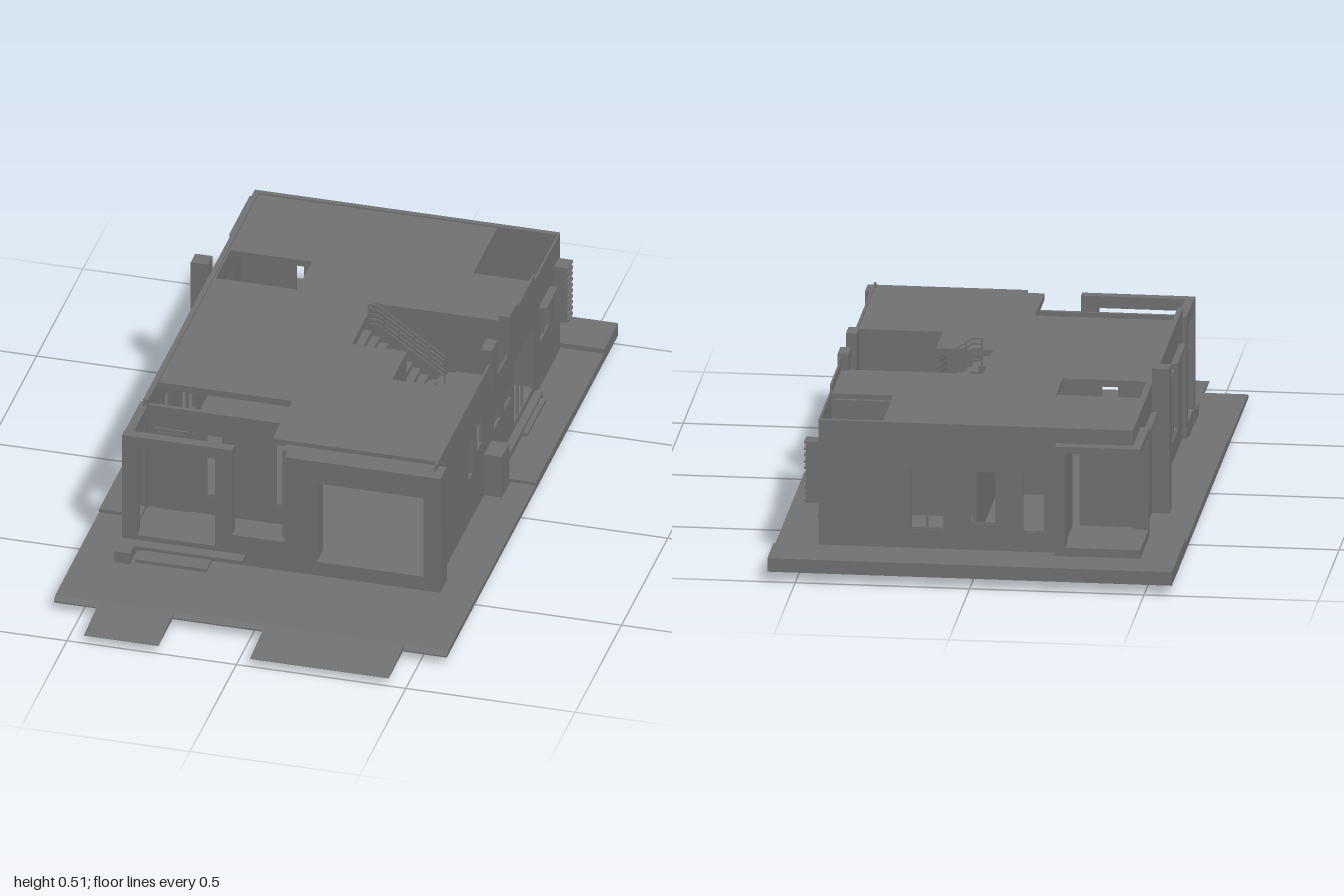
import * as THREE from 'three';

const grey = new THREE.MeshStandardMaterial({ color: 0x707070, flatShading: true });

export function createModel() {
  const house = new THREE.Group();
  house.name = 'house';

  const add = (name, geometry) => {
    const mesh = new THREE.Mesh(geometry, grey);
    mesh.name = name;
    house.add(mesh);
    return mesh;
  };
  // Box given by its limits on each axis
  const box = (name, x0, x1, y0, y1, z0, z1) => add(name,
    new THREE.BoxGeometry(x1 - x0, y1 - y0, z1 - z0)
      .translate((x0 + x1) / 2, (y0 + y1) / 2, (z0 + z1) / 2));
  const poly = (pts) => new THREE.Shape(pts.map(([a, b]) => new THREE.Vector2(a, b)));
  const rect = ([a0, a1, b0, b1]) => poly([[a0, b0], [a1, b0], [a1, b1], [a0, b1]]);
  const extrude = (pts, holes, depth) => {
    const shape = poly(pts);
    shape.holes = holes.map(rect);
    return new THREE.ExtrudeGeometry(shape, { depth, bevelEnabled: false });
  };
  // Wall across x: outline in (x, y), from z0 to z0 + t
  const wallX = (name, pts, holes, z0, t) => add(name, extrude(pts, holes, t).translate(0, 0, z0));
  // Wall along z: outline in (z, y), from x1 - t to x1
  const wallZ = (name, pts, holes, x1, t) =>
    add(name, extrude(pts, holes, t).rotateY(-Math.PI / 2).translate(x1, 0, 0));
  // Horizontal slab: outline in (x, z), from y1 - t to y1
  const slab = (name, pts, holes, y1, t) =>
    add(name, extrude(pts, holes, t).rotateX(Math.PI / 2).translate(0, y1, 0));
  const block = (a0, a1, b0, b1) => [[a0, b0], [a1, b0], [a1, b1], [a0, b1]];

  // Thin frame inside an opening
  const f = 0.005;
  const framePieces = ([a0, a1, b0, b1]) => [
    [a0, a0 + f, b0, b1], [a1 - f, a1, b0, b1],
    [a0, a1, b0, b0 + f], [a0, a1, b1 - f, b1],
  ];
  const frameX = (openings, z) => openings.forEach((o) => framePieces(o).forEach(
    ([a0, a1, b0, b1]) => box('windowFrame', a0, a1, b0, b1, z - 0.004, z + 0.004)));
  const frameZ = (openings, x) => openings.forEach((o) => framePieces(o).forEach(
    ([a0, a1, b0, b1]) => box('windowFrame', x - 0.004, x + 0.004, b0, b1, a0, a1)));

  // Paving around the house
  box('backPaving', -0.58, 0.58, 0.035, 0.075, -1, -0.85);
  box('rightPaving', 0.45, 0.58, 0.035, 0.06, -0.85, -0.11);
  box('rightPaving', 0.45, 0.58, 0.035, 0.05, -0.11, 0.53);
  box('leftPaving', -0.58, -0.45, 0.035, 0.075, -0.85, -0.66);
  box('leftPaving', -0.58, -0.45, 0.035, 0.06, -0.66, 0.36);
  box('leftPaving', -0.58, -0.45, 0.035, 0.05, 0.36, 0.53);
  wallZ('frontPaving', [[0.5, 0.035], [0.85, 0.033], [0.85, 0.037], [0.83, 0.048], [0.5, 0.05]], [], 0.58, 1.16);
  const ramp = [[0.83, 0.033], [1, 0.03], [1, 0.031], [0.83, 0.048]];
  wallZ('driveway', ramp, [], 0.45, 0.41);
  wallZ('footpath', ramp, [], -0.23, 0.22);

  // Floor with the courtyard opening, and foundation strips
  slab('floor', block(-0.45, 0.45, -0.84, 0.52), [[0.203, 0.446, -0.092, 0.06]], 0.09, 0.02);
  box('foundation', -0.45, 0.45, 0.015, 0.075, -0.84, -0.81);
  box('foundation', -0.45, 0.475, 0.015, 0.075, 0.49, 0.53);
  box('foundation', -0.45, -0.42, 0.015, 0.075, -0.84, 0.52);
  box('foundation', 0.446, 0.452, 0.015, 0.075, -0.84, 0.52);
  box('foundation', 0.18, 0.203, 0.02, 0.075, -0.12, 0.09);
  box('stairFooting', 0.12, 0.22, 0.01, 0.075, -0.385, -0.315);

  // Roof deck with open wells
  slab('roof', [
    [-0.435, -0.83], [0.27, -0.83], [0.27, -0.57], [0.446, -0.57], [0.446, -0.335], [0.04, -0.335],
    [0.04, -0.1], [0.203, -0.1], [0.203, 0.06], [0.446, 0.06], [0.446, 0.465], [-0.04, 0.465],
    [-0.04, 0.25], [-0.435, 0.25],
  ], [[-0.43, -0.19, -0.51, -0.35]], 0.44, 0.02);

  // Right wall with raised and lowered stretches of parapet
  const rightWindows = [
    [0.37, 0.425, 0.19, 0.32], [0.1, 0.155, 0.19, 0.32], [0, 0.06, 0.235, 0.325],
    [-0.2, -0.12, 0.2, 0.245], [-0.32, -0.235, 0.2, 0.245],
    [-0.55, -0.34, 0.095, 0.305], [-0.73, -0.62, 0.205, 0.31],
  ];
  wallZ('rightWall', [
    [-0.84, 0.015], [0.5, 0.015], [0.5, 0.445], [-0.085, 0.445], [-0.085, 0.49], [-0.15, 0.49],
    [-0.15, 0.365], [-0.28, 0.365], [-0.28, 0.49], [-0.345, 0.49], [-0.345, 0.48], [-0.38, 0.48],
    [-0.38, 0.465], [-0.57, 0.465], [-0.57, 0.445], [-0.84, 0.445],
  ], rightWindows, 0.452, 0.006);
  frameZ(rightWindows, 0.448);
  box('windowBar', 0.444, 0.45, 0.205, 0.31, -0.68, -0.672);
  box('doorBar', 0.444, 0.45, 0.095, 0.305, -0.4, -0.393);
  box('doorBar', 0.444, 0.45, 0.095, 0.305, -0.45, -0.443);
  box('tower', 0.425, 0.456, 0.365, 0.49, -0.15, -0.085);
  box('tower', 0.425, 0.456, 0.365, 0.49, -0.345, -0.28);
  box('meterPillar', 0.445, 0.505, 0.005, 0.185, -0.1, -0.02);
  box('sideStep', 0.45, 0.475, 0.06, 0.08, -0.57, -0.1);
  box('sideStep', 0.45, 0.49, 0.05, 0.07, -0.55, -0.35);
  box('windowHood', 0.45, 0.475, 0.325, 0.332, -0.735, -0.61);

  // Louvred screen near the back right corner
  [-0.825, -0.78].forEach((z) => box('louvrePost', 0.45, 0.49, 0.19, 0.37, z, z + 0.005));
  for (let i = 0; i < 10; i++) {
    const y = 0.195 + i * 0.019;
    box('louvreSlat', 0.45, 0.495, y, y + 0.006, -0.825, -0.775);
  }

  // Left wall
  const leftWindows = [
    [-0.56, -0.43, 0.12, 0.355], [-0.16, -0.01, 0.12, 0.355], [0.1, 0.24, 0.12, 0.355],
  ];
  wallZ('leftWall', block(-0.66, 0.36, 0.015, 0.445), leftWindows, -0.435, 0.015);
  frameZ(leftWindows, -0.442);
  leftWindows.forEach(([a0, a1, b0, b1]) => {
    box('windowHood', -0.468, -0.45, b1, b1 + 0.01, a0 - 0.03, a1 + 0.03);
    box('windowBar', -0.446, -0.438, b0, b1, (a0 + a1) / 2 - 0.003, (a0 + a1) / 2 + 0.003);
  });
  box('chimney', -0.5, -0.45, 0.005, 0.49, -0.385, -0.335);

  // Back wall
  const backWindows = [
    [-0.2, -0.13, 0.13, 0.31], [-0.06, 0.02, 0.15, 0.31], [0.09, 0.19, 0.13, 0.31],
  ];
  wallX('backWall', block(-0.26, 0.45, 0.015, 0.445), backWindows, -0.845, 0.015);
  frameX(backWindows, -0.838);
  box('windowBar', 0.137, 0.143, 0.13, 0.31, -0.842, -0.834);

  // Recessed back left corner framed by a canopy, fins and a plinth
  box('cornerParapet', -0.45, -0.24, 0.39, 0.445, -0.845, -0.83);
  box('cornerParapet', -0.45, -0.435, 0.39, 0.445, -0.845, -0.65);
  slab('cornerCanopy', block(-0.475, -0.23, -0.88, -0.66), [], 0.4, 0.02);
  slab('cornerPlinth', block(-0.475, -0.23, -0.88, -0.66), [], 0.1, 0.05);
  box('cornerFin', -0.26, -0.23, 0.05, 0.4, -0.88, -0.83);
  box('cornerFin', -0.475, -0.435, 0.05, 0.4, -0.68, -0.66);
  box('cornerSideWall', -0.255, -0.243, 0.09, 0.425, -0.83, -0.66);
  box('cornerBackWall', -0.435, -0.275, 0.09, 0.425, -0.66, -0.648);

  // Garage front with its wide opening
  wallX('garageFront', block(0.015, 0.475, 0.015, 0.427), [[0.11, 0.425, 0.095, 0.355]], 0.465, 0.07);
  box('garageSideWall', 0, 0.015, 0.05, 0.427, 0.35, 0.5);
  const doors = [[0.112, 0.15, 0.09, 0.3], [0.295, 0.375, 0.09, 0.3]];
  wallX('garageBackWall', block(0.0, 0.446, 0.08, 0.42), doors, 0.06, 0.012);

  // Inner walls
  box('courtyardWall', 0.191, 0.203, 0.08, 0.425, -0.092, 0.06);
  box('stairBackWall', 0.028, 0.446, 0.08, 0.425, -0.347, -0.335);
  box('stairEndWall', 0.028, 0.04, 0.08, 0.425, -0.335, -0.1);
  box('spineWall', 0, 0.012, 0.08, 0.425, -0.83, 0.35);
  box('crossWall', -0.19, 0, 0.08, 0.425, -0.347, -0.335);
  box('crossWall', 0.012, 0.446, 0.08, 0.425, -0.582, -0.57);

  // Open porch frame and low wall
  wallX('porchFrame', [
    [-0.465, 0.035], [0.015, 0.035], [0.015, 0.145], [-0.14, 0.145], [-0.14, 0.425], [-0.465, 0.425],
  ], [[-0.42, -0.19, 0.1, 0.39]], 0.505, 0.03);
  wallZ('porchSideFrame', block(0.34, 0.53, 0.035, 0.425), [[0.375, 0.5, 0.1, 0.39]], -0.438, 0.025);

  // Entrance wall at the back of the porch
  const entry = [[-0.27, -0.215, 0.15, 0.355], [-0.065, -0.01, 0.15, 0.355]];
  wallX('entranceWall', block(-0.44, 0.01, 0.08, 0.425), entry, 0.342, 0.012);
  frameX(entry, 0.348);
  box('frontDoor', -0.415, -0.315, 0.09, 0.355, 0.352, 0.359);
  box('doorPanel', -0.408, -0.322, 0.315, 0.345, 0.357, 0.362);

  // Front steps
  box('upperStep', -0.465, -0.1, 0.075, 0.085, 0.52, 0.572);
  box('lowerStep', -0.405, -0.195, 0.055, 0.065, 0.55, 0.61);
  box('stepCheek', -0.465, -0.42, 0.04, 0.085, 0.52, 0.615);

  // Two flights of stairs with a half landing
  const n = 10, run = 0.024, rise = 0.017;
  for (let i = 0; i < n; i++) {
    const x = 0.045 + i * run, up = 0.425 - i * rise, low = 0.09 + (i + 1) * 0.016;
    box('upperTread', x, x + run, up - 0.012, up, -0.21, -0.11);
    box('lowerTread', x, x + run, low - 0.012, low, -0.33, -0.225);
  }
  box('stairLanding', 0.285, 0.446, 0.24, 0.255, -0.33, -0.11);

  // Stair railing: posts and sloping rails
  for (let i = 0; i < 6; i++) {
    const x = 0.058 + i * 0.045, y = Math.min(0.51, 0.51 - (x - 0.085) * 0.7);
    box('railPost', x - 0.002, x + 0.002, y - 0.09, y, -0.217, -0.211);
  }
  for (let k = 0; k < 5; k++) {
    const d = k * 0.016;
    wallX('rail', [
      [0.056, 0.506 - d], [0.085, 0.506 - d], [0.285, 0.366 - d],
      [0.285, 0.371 - d], [0.085, 0.511 - d], [0.056, 0.511 - d],
    ], [], -0.216, 0.004);
  }
  return house;
}
